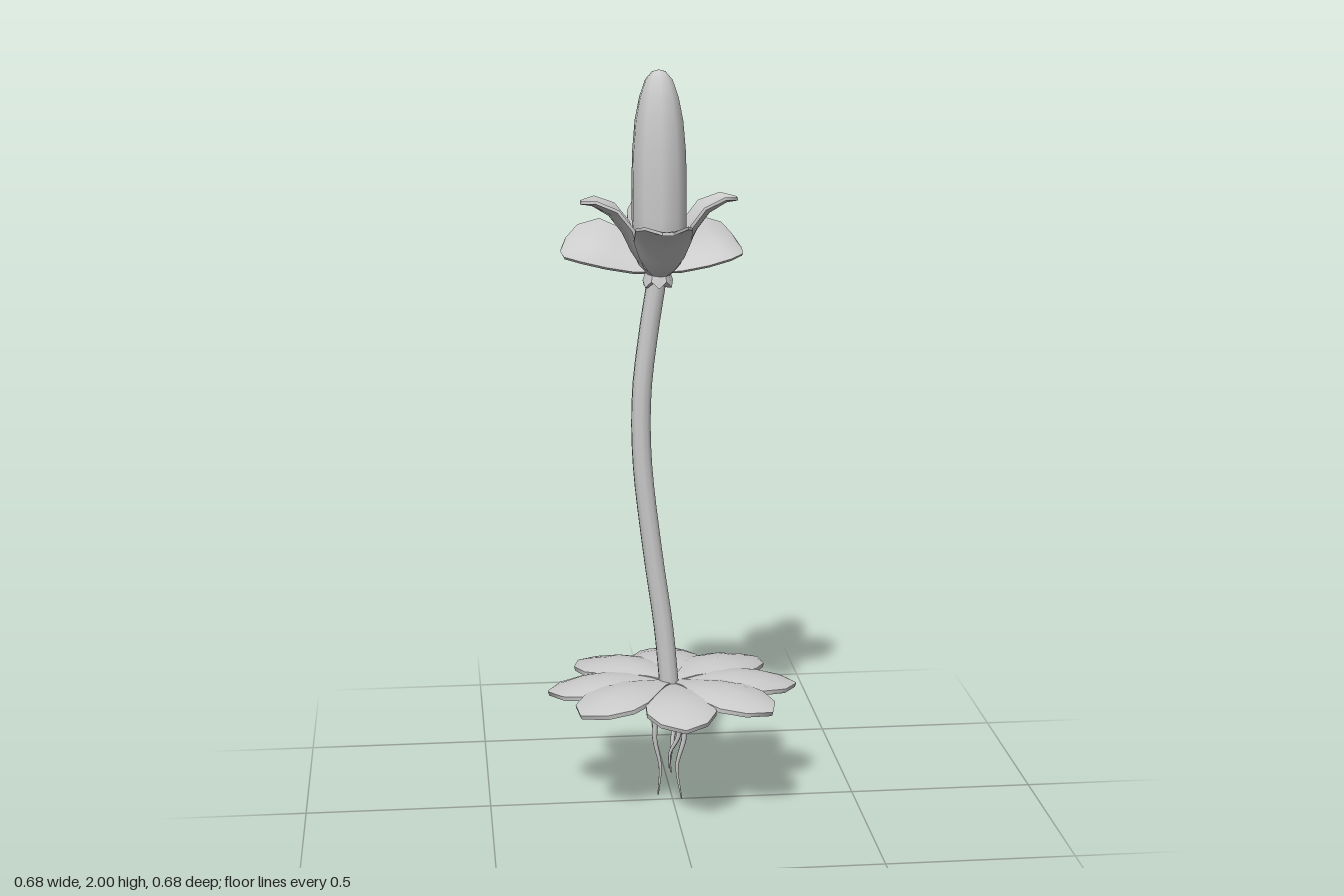
import * as THREE from 'three';
import { toCreasedNormals } from 'three/addons/utils/BufferGeometryUtils.js';

const material = new THREE.MeshStandardMaterial({ color: 0xcccccc });

function addMesh(parent, name, geometry) {
  const mesh = new THREE.Mesh(geometry, material);
  mesh.name = name;
  parent.add(mesh);
  return mesh;
}

// Thin solid blade growing along +z. rows: [distance, height, halfWidth];
// cup lifts (or drops) the long edges along the blade's own normal.
function bladeGeometry(rows, cup, thickness) {
  const across = [-1, -0.6, 0, 0.6, 1];
  const ring = across.length * 2;
  const maxWidth = Math.max(...rows.map(r => r[2]));
  const positions = [], index = [];
  rows.forEach(([z, y, width], i) => {
    const before = rows[Math.max(i - 1, 0)], after = rows[Math.min(i + 1, rows.length - 1)];
    const dz = after[0] - before[0], dy = after[1] - before[1], len = Math.hypot(dz, dy);
    const put = (v, drop) => {
      const lift = cup * (v * width / maxWidth) ** 2 - drop;
      positions.push(v * width, y + lift * dz / len, z - lift * dy / len);
    };
    across.forEach(v => put(v, 0));
    [...across].reverse().forEach(v => put(v, thickness));
  });
  for (let i = 0; i < rows.length - 1; i++) {
    for (let j = 0; j < ring; j++) {
      const a = i * ring + j, d = i * ring + (j + 1) % ring;
      index.push(a, a + ring, d + ring, a, d + ring, d);
    }
  }
  const last = (rows.length - 1) * ring;
  for (let j = 1; j < ring - 1; j++) {
    index.push(0, j, j + 1, last, last + j + 1, last + j);
  }
  const geometry = new THREE.BufferGeometry();
  geometry.setAttribute('position', new THREE.Float32BufferAttribute(positions, 3));
  geometry.setIndex(index);
  return toCreasedNormals(geometry, 0.75);
}

// Tube along a smooth path whose radius runs from r0 to r1
function taperedTube(points, r0, r1, segments, sides) {
  const curve = new THREE.CatmullRomCurve3(points.map(p => new THREE.Vector3(...p)));
  const geometry = new THREE.TubeGeometry(curve, segments, r0, sides);
  const pos = geometry.attributes.position, p = new THREE.Vector3();
  for (let k = 0; k < pos.count; k++) {
    const t = Math.floor(k / (sides + 1)) / segments;
    const centre = curve.getPointAt(t);
    p.fromBufferAttribute(pos, k).sub(centre).multiplyScalar(1 + (r1 / r0 - 1) * t).add(centre);
    pos.setXYZ(k, p.x, p.y, p.z);
  }
  return geometry;
}

export function createModel() {
  const plant = new THREE.Group();
  plant.name = 'flowerPlant';

  // Curved stem
  addMesh(plant, 'stem', taperedTube([
    [-0.01, 0.335, 0.007], [-0.025, 0.5, 0.007], [-0.055, 0.72, 0.007], [-0.082, 0.97, 0.007],
    [-0.083, 1.15, 0.007], [-0.065, 1.31, 0.007], [-0.042, 1.46, 0.01]
  ], 0.027, 0.026, 20, 10));

  // Rosette of domed ground leaves
  const leaves = new THREE.Group();
  leaves.name = 'groundLeaves';
  plant.add(leaves);
  const leafGeometry = bladeGeometry([
    [0.01, 0.346, 0.012], [0.06, 0.354, 0.032], [0.12, 0.364, 0.066], [0.18, 0.366, 0.09],
    [0.24, 0.359, 0.092], [0.305, 0.342, 0.061], [0.34, 0.33, 0.003]
  ], -0.018, 0.012);
  [0, 45, 90, 130, 180, 225, 270, 309].forEach((angle, i) => {
    const leaf = addMesh(leaves, 'leaf', leafGeometry);
    leaf.rotation.y = THREE.MathUtils.degToRad(angle);
    leaf.position.y = i % 2 ? 0.005 : 0;
  });

  // Hanging roots
  const roots = new THREE.Group();
  roots.name = 'roots';
  plant.add(roots);
  [
    [[-0.015, 0.345, 0.005], [-0.04, 0.27, 0.005], [-0.05, 0.19, 0.004], [-0.034, 0.1, 0], [-0.04, 0.02, 0]],
    [[0.008, 0.345, 0.005], [0.023, 0.27, 0.005], [0.032, 0.19, 0.004], [0.012, 0.1, 0], [0.025, 0.005, 0]],
    [[0, 0.345, 0.012], [0.008, 0.27, 0.022], [0.014, 0.2, 0.026], [-0.01, 0.14, 0.014], [-0.006, 0.09, 0.02]],
    [[0, 0.345, -0.005], [-0.004, 0.27, -0.018], [0.004, 0.2, -0.022], [-0.003, 0.14, -0.01], [-0.008, 0.09, -0.016]]
  ].forEach(path => addMesh(roots, 'root', taperedTube(path, 0.013, 0.002, 16, 6)));

  // Flower head, built around its own base
  const flower = new THREE.Group();
  flower.name = 'flowerHead';
  flower.position.set(-0.037, 1.47, 0.017);
  plant.add(flower);

  // Tall closed bud
  const budProfile = [
    [0.001, -0.02], [0.03, 0], [0.058, 0.03], [0.07, 0.08], [0.073, 0.15], [0.073, 0.24], [0.071, 0.32],
    [0.064, 0.4], [0.052, 0.46], [0.036, 0.505], [0.018, 0.525], [0, 0.53]
  ].map(p => new THREE.Vector2(...p));
  addMesh(flower, 'bud', new THREE.LatheGeometry(budProfile, 10));

  // Notched collar below the petals
  const collar = new THREE.CylinderGeometry(0.03, 0.04, 0.045, 12);
  const cp = collar.attributes.position;
  for (let k = 0; k < cp.count; k++) {
    const step = Math.round(Math.atan2(cp.getX(k), cp.getZ(k)) / (Math.PI / 6));
    if (cp.getY(k) < 0 && step % 2) cp.setY(k, cp.getY(k) + 0.018);
  }
  addMesh(flower, 'collar', toCreasedNormals(collar, 0.5)).position.set(-0.003, -0.01, -0.006);

  // Upright petals curling outward: [angle, reach, rise]
  const uprightRows = [
    [0.05, 0, 0.012], [0.2, 0.13, 0.034], [0.33, 0.34, 0.058], [0.45, 0.6, 0.074],
    [0.62, 0.83, 0.073], [0.84, 0.97, 0.055], [1, 1, 0.014]
  ];
  [[0, 0.233, 0.145], [90, 0.203, 0.2], [180, 0.217, 0.16], [270, 0.203, 0.195]].forEach(([angle, reach, rise]) => {
    const rows = uprightRows.map(([r, y, w]) => [r * reach, y * rise, w]);
    const petal = addMesh(flower, 'uprightPetal', bladeGeometry(rows, 0.025, 0.008));
    petal.rotation.y = THREE.MathUtils.degToRad(angle);
  });

  // Low spreading petals at the back, rolled with the rear edge up: [angle, reach, roll]
  const lowRows = [
    [0.04, 0, 0.012], [0.25, 0.02, 0.04], [0.48, 0.055, 0.072], [0.7, 0.075, 0.08],
    [0.9, 0.076, 0.06], [1, 0.07, 0.025]
  ];
  [[120, 0.245, 0.65], [244, 0.265, -0.65]].forEach(([angle, reach, roll]) => {
    const rows = lowRows.map(([r, y, w]) => [r * reach, y, w]);
    const geometry = bladeGeometry(rows, 0.02, 0.008).translate(0, -0.05, 0).rotateZ(roll).translate(0, 0.05, 0);
    addMesh(flower, 'lowPetal', geometry).rotation.y = THREE.MathUtils.degToRad(angle);
  });

  return plant;
}
